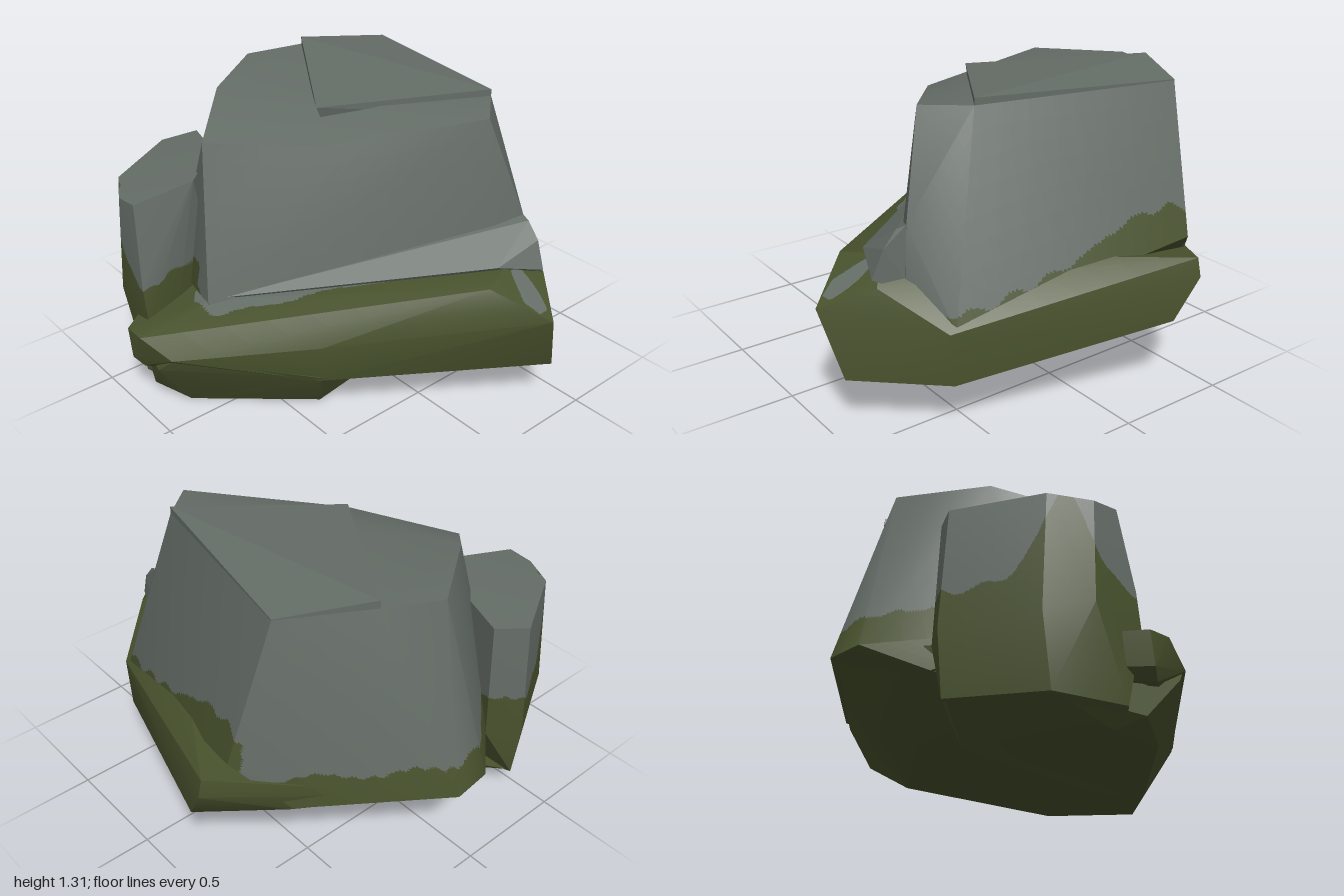
import * as THREE from 'three';
import { toCreasedNormals } from 'three/addons/utils/BufferGeometryUtils.js';
import { ConvexGeometry } from 'three/addons/geometries/ConvexGeometry.js';

const stone = new THREE.MeshStandardMaterial({ color: 0x656d67 });
const moss = new THREE.MeshStandardMaterial({ color: 0x48522d });
stone.name = 'stone';
moss.name = 'moss';

const bump = (d, width) => Math.exp(-((d / width) ** 2));
const ragged = (x, y, z) =>
  0.018 * Math.sin(13 * x + 9 * z) + 0.012 * Math.sin(31 * z - 23 * x) + 0.007 * Math.sin(57 * (x + z) + 20 * y);

// Moss line on the boulder: low at the front, climbing along the right wall
function boulderMoss({ x, y, z }) {
  let line = 0.58;
  if (z - 0.75 * x > 0.25) line = 0.45;
  else if (x > 0.45 && z > -0.47) line += 0.2 * bump(z + 0.38, 0.45) - 0.08 * bump(z - 0.55, 0.2);
  return y < line + ragged(x, y, z);
}

// Moss line on the side lump, with a patch reaching its top edge
function lumpMoss({ x, y, z }) {
  const patch = 0.4 * bump(Math.hypot(x + 0.85, z + 0.6), 0.12);
  return y < 0.56 + patch + ragged(x, y, z);
}

// The skirt is mossy apart from a bare spot near the tip and a bare strip beside the front face
function skirtMoss({ x, y, z }) {
  const wave = ragged(x, y, z);
  const spot = y > 0.55 && Math.hypot((x - 0.27) * 1.3, (z - 0.86) * 0.7) < 0.05 - wave;
  const depth = z - 0.75 * x;
  const strip = y > 0.45 && x > -0.72 && x < 0.22 && depth > 0.2 && depth < 0.5 + 0.12 * Math.max(x, 0) + wave;
  return !spot && !strip;
}

const allMoss = () => true;
const allStone = () => false;

// Convex chunk whose faces are divided finely along the moss line
function chunk(name, points, isMoss, crease = 0.4) {
  const hull = toCreasedNormals(new ConvexGeometry(points.map((p) => new THREE.Vector3(...p))), crease);
  const pos = hull.attributes.position;
  const nor = hull.attributes.normal;
  const sides = [{ p: [], n: [] }, { p: [], n: [] }];

  const middle = (a, b) => ({
    p: a.p.clone().add(b.p).multiplyScalar(0.5),
    n: a.n.clone().add(b.n).normalize(),
  });
  const divide = (a, b, c, level) => {
    const count = [a, b, c].filter((v) => isMoss(v.p)).length;
    const plain = isMoss === allMoss || isMoss === allStone;
    if (!plain && (level < 3 || (level < 6 && count % 3 !== 0))) {
      const ab = middle(a, b), bc = middle(b, c), ca = middle(c, a);
      divide(a, ab, ca, level + 1);
      divide(ab, b, bc, level + 1);
      divide(ca, bc, c, level + 1);
      divide(ab, bc, ca, level + 1);
      return;
    }
    const side = sides[count > 1 ? 1 : 0];
    for (const v of [a, b, c]) {
      side.p.push(v.p.x, v.p.y, v.p.z);
      side.n.push(v.n.x, v.n.y, v.n.z);
    }
  };
  const corner = (i) => ({
    p: new THREE.Vector3().fromBufferAttribute(pos, i),
    n: new THREE.Vector3().fromBufferAttribute(nor, i),
  });
  for (let i = 0; i < pos.count; i += 3) divide(corner(i), corner(i + 1), corner(i + 2), 0);

  const geometry = new THREE.BufferGeometry();
  const join = (key) => new THREE.Float32BufferAttribute(sides[0][key].concat(sides[1][key]), 3);
  geometry.setAttribute('position', join('p'));
  geometry.setAttribute('normal', join('n'));
  const split = sides[0].p.length / 3;
  geometry.addGroup(0, split, 0);
  geometry.addGroup(split, sides[1].p.length / 3, 1);
  const mesh = new THREE.Mesh(geometry, [stone, moss]);
  mesh.name = name;
  return mesh;
}

export function createModel() {
  const rock = new THREE.Group();
  rock.name = 'mossyRock';

  // Main boulder
  rock.add(chunk('boulder', [
    [0.31, 1.27, 0.54], [-0.26, 1.16, 0.11], [-0.53, 1.11, -0.33], [-0.37, 1.18, -0.48],
    [-0.3, 1.24, -0.54], [0.05, 1.25, -0.79], [0.3, 1.27, -0.69], [0.66, 1.28, -0.5],
    [0.48, 1.28, 0.39], [0.42, 0.84, 0.67], [0.3, 0.6, 0.64], [-0.7, 0.47, -0.1],
    [0.85, 0.66, -0.44], [0.65, 0.45, 0.6], [0.45, 0.55, 0.7], [0.66, 0.42, -0.6],
    [0.41, 0.42, -0.77], [0.12, 0.43, -1], [-0.06, 0.43, -0.98], [-0.28, 0.3, -0.79],
    [-0.6, 0.45, -0.5],
  ], boulderMoss, 0.6));

  // Raised slab on top
  rock.add(chunk('topSlab', [
    [0.3, 1.305, -0.69], [0.66, 1.285, -0.5], [0.48, 1.31, 0.39], [-0.15, 1.265, -0.02],
    [0.3, 1.2, -0.69], [0.66, 1.2, -0.5], [0.48, 1.2, 0.39], [-0.1, 1.15, -0.02],
  ], allStone, 0.1));

  // Lower lump at the back corner
  rock.add(chunk('sideLump', [
    [-0.87, 0.91, -0.36], [-0.6, 0.96, -0.31], [-0.87, 0.9, -0.48], [-0.78, 0.91, -0.64],
    [-0.43, 0.92, -0.84], [-0.28, 0.95, -0.77], [-0.37, 0.97, -0.5], [-0.9, 0.55, -0.3],
    [-0.9, 0.4, -0.28], [-0.89, 0.45, -0.5], [-0.79, 0.4, -0.67], [-0.43, 0.4, -0.87],
    [-0.28, 0.4, -0.79], [-0.89, 0.08, -0.35], [-0.81, 0.01, -0.3], [-0.78, 0.1, -0.62],
    [-0.43, 0.12, -0.84], [-0.4, 0.01, -0.4],
  ], lumpMoss));

  // Overhanging mossy skirt
  rock.add(chunk('mossySkirt', [
    [-0.98, 0.36, -0.22], [-0.98, 0.36, -0.32], [-0.98, 0.22, -0.3], [-0.92, 0.29, -0.07],
    [-0.45, 0.38, 0.37], [0.1, 0.65, 0.79], [0.27, 0.52, 1], [0.37, 0.23, 0.94],
    [-0.45, 0.2, 0.35], [0.65, 0.45, 0.63], [0.65, 0.22, 0.61], [0.94, 0.35, -0.29],
    [0.97, 0.53, -0.4], [0.95, 0.61, -0.4], [0.12, 0.42, -0.96], [-0.06, 0.42, -0.94],
    [0.66, 0.4, -0.58], [-0.28, 0.3, -0.77], [-0.66, 0.49, -0.1], [0.3, 0.69, 0.72],
    [0.42, 0.61, 0.81], [0.54, 0.14, -0.33], [0.27, 0.18, 0.1], [-0.95, 0.18, -0.26],
  ], skirtMoss));

  // Foot that carries the rock
  rock.add(chunk('foot', [
    [-0.95, 0.22, -0.14], [-0.9, 0.06, -0.27], [-0.81, 0.01, -0.12], [-0.37, 0, 0.25],
    [-0.15, 0.06, 0.2], [0, 0.14, 0.22], [-0.1, 0.19, 0.38], [-0.45, 0.22, 0.36],
    [0.1, 0.19, -0.35], [-0.35, 0.01, -0.42], [-0.81, 0.01, -0.35], [-0.43, 0.12, -0.82],
    [-0.78, 0.1, -0.6], [-0.24, 0.2, -0.7], [-0.9, 0.3, -0.06],
  ], allMoss));

  // Small crag at the foot of the front face
  rock.add(chunk('frontCrag', [
    [0.42, 0.84, 0.67], [0.41, 0.83, 0.71], [0.41, 0.76, 0.77], [0.4, 0.64, 0.82],
    [0.2, 0.69, 0.74], [-0.66, 0.5, -0.08], [-0.25, 0.59, 0.27], [0.3, 0.55, 0.6],
    [0.45, 0.55, 0.65], [-0.5, 0.45, 0],
  ], allStone, 0.1));

  return rock;
}
